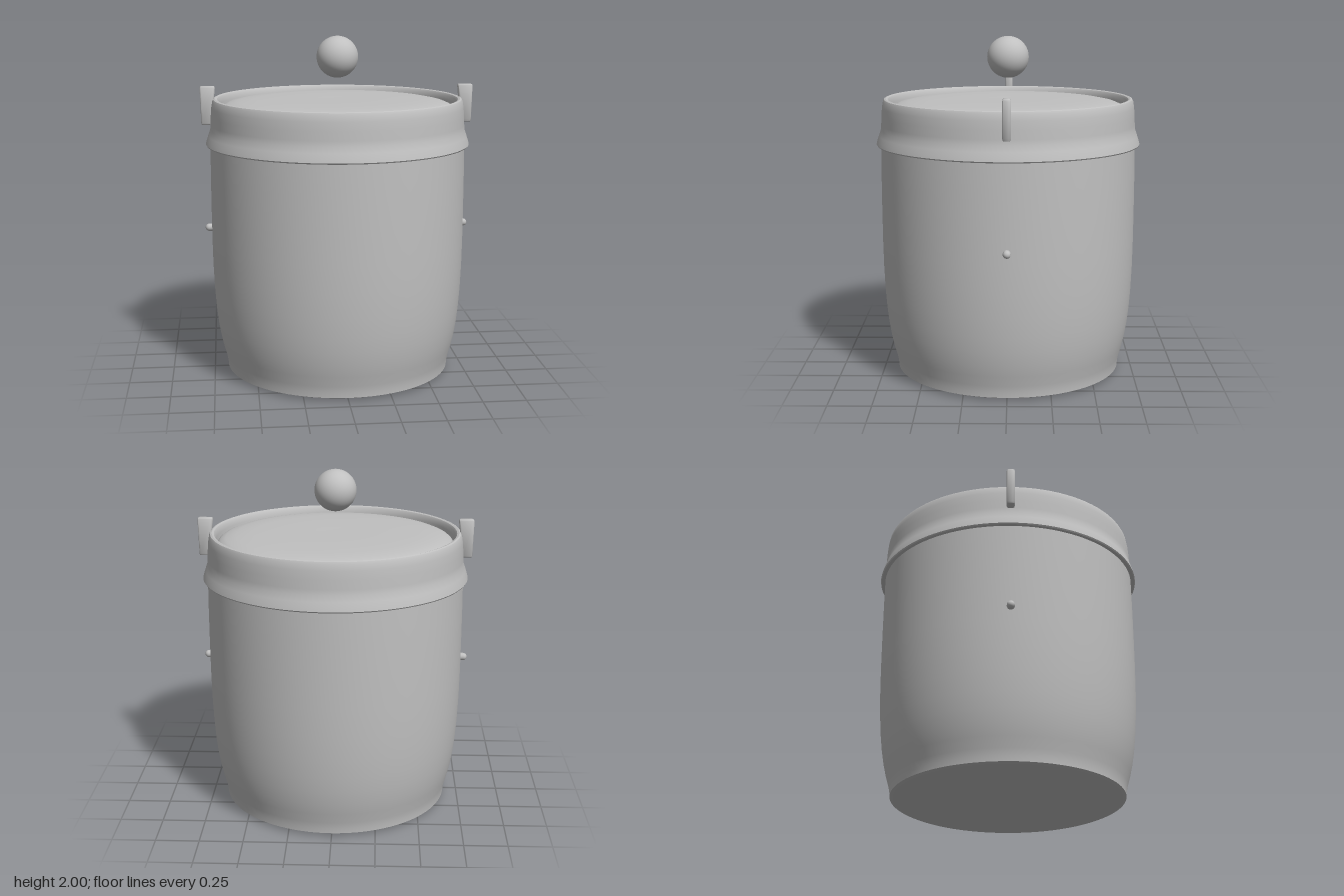
import * as THREE from 'three';
import { toCreasedNormals } from 'three/addons/utils/BufferGeometryUtils.js';
import { RoundedBoxGeometry } from 'three/addons/geometries/RoundedBoxGeometry.js';

const grey = new THREE.MeshStandardMaterial({ color: 0xc0c0c0 });
grey.name = 'plain grey';

function add(parent, name, geometry, x = 0, y = 0, z = 0) {
  const mesh = new THREE.Mesh(geometry, grey);
  mesh.name = name;
  mesh.position.set(x, y, z);
  parent.add(mesh);
  return mesh;
}

// Turned part from a [radius, height] profile, keeping sharp edges
function turned(profile) {
  const points = profile.map(([r, y]) => new THREE.Vector2(r, y));
  return toCreasedNormals(new THREE.LatheGeometry(points, 96), 0.6);
}

// Upright lug, narrowing on its inner side towards the bottom
function lugGeometry(side) {
  const geometry = new RoundedBoxGeometry(0.09, 0.225, 0.046, 3, 0.012);
  const p = geometry.attributes.position;
  for (let i = 0; i < p.count; i++) {
    const drop = 0.5 - p.getY(i) / 0.225;
    const inner = 0.5 - (side * p.getX(i)) / 0.09;
    p.setX(i, p.getX(i) + side * drop * (0.025 * inner - 0.006 * (1 - inner)));
  }
  geometry.computeVertexNormals();
  return toCreasedNormals(geometry, 0.7);
}

export function createModel() {
  const model = new THREE.Group();
  model.name = 'liddedJar';

  // Barrel body with a narrower foot
  add(model, 'body', turned([
    [0, 0], [0.1, 0.006], [0.4, 0.009], [0.65, 0.012], [0.668, 0.02],
    [0.67, 0.05], [0.678, 0.09], [0.695, 0.15], [0.711, 0.22], [0.724, 0.3],
    [0.734, 0.39], [0.742, 0.5], [0.748, 0.64], [0.751, 0.8],
    [0.752, 1.0], [0.752, 1.2], [0.75, 1.4],
  ]));

  // Lid: flared skirt, raised rim, groove and gently domed top
  add(model, 'lid', turned([
    [0.745, 1.37], [0.772, 1.368], [0.777, 1.375], [0.772, 1.395],
    [0.762, 1.425], [0.75, 1.46], [0.748, 1.49], [0.746, 1.54],
    [0.742, 1.59], [0.736, 1.625], [0.73, 1.637], [0.72, 1.641],
    [0.708, 1.637], [0.7, 1.625], [0.696, 1.6], [0.692, 1.57],
    [0.685, 1.583], [0.67, 1.597], [0.64, 1.61], [0.58, 1.622],
    [0.48, 1.629], [0.3, 1.632], [0.1, 1.633], [0, 1.63],
  ]));

  // Floating ball knob
  add(model, 'knob', new THREE.SphereGeometry(0.122, 48, 32), 0, 1.878, 0);

  // Side lugs and pins
  for (const side of [1, -1]) {
    const name = side > 0 ? 'left' : 'right';
    add(model, name + 'Lug', lugGeometry(side), side * 0.762, 1.6, 0);
    const pin = add(model, name + 'Pin', new THREE.CapsuleGeometry(0.022, 0.04, 8, 20), side * 0.748, 0.87, 0);
    pin.rotation.z = Math.PI / 2;
  }
  return model;
}
